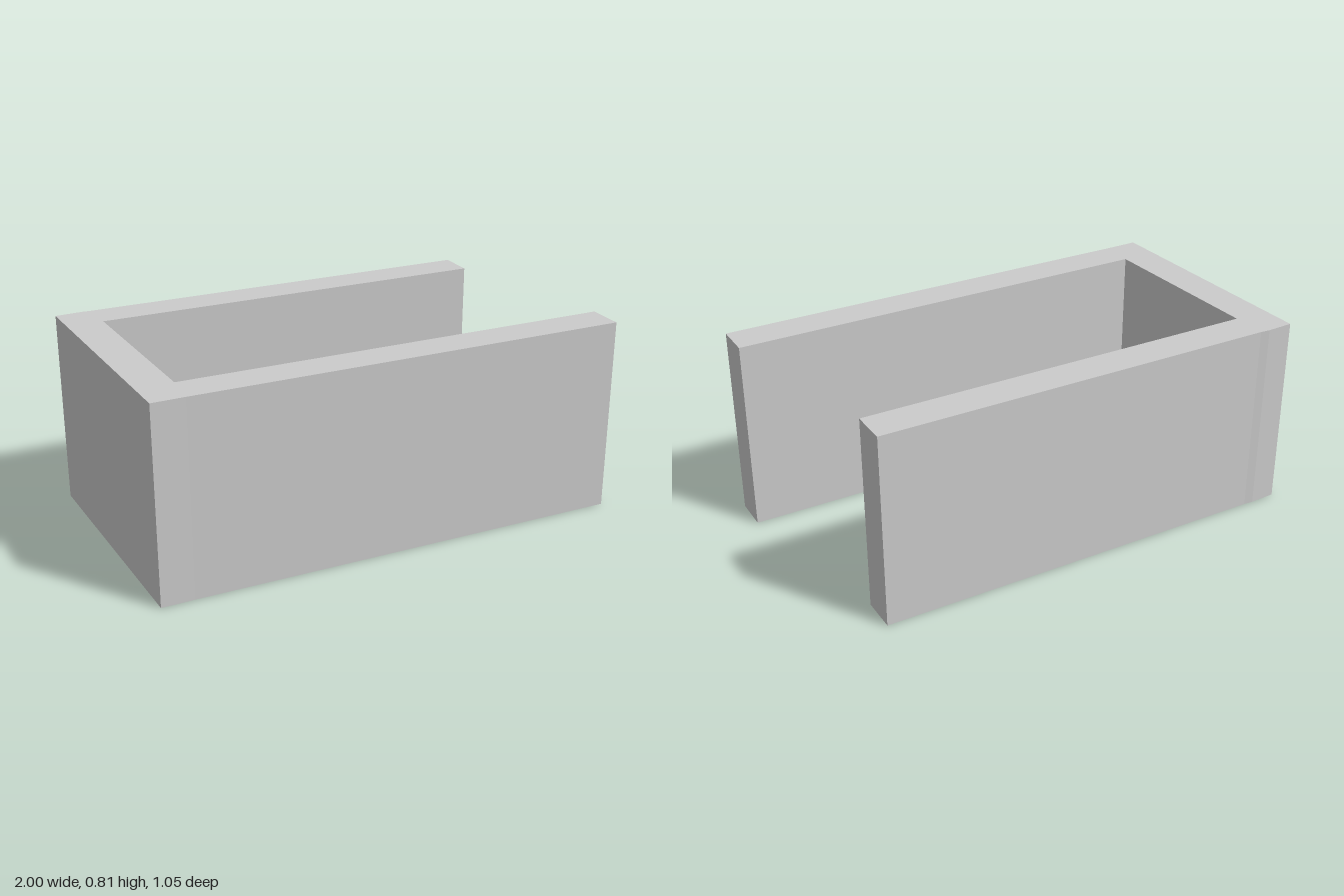
import * as THREE from 'three';

const HEIGHT = 0.81;

// Plan outline of the U-shaped wall as [x, z]; the end wall leans slightly
const OUTLINE = [
  [-0.953, 0.524], [-0.82, 0.522], [1, 0.525], [1, 0.375], [-0.81, 0.375],
  [-0.845, -0.375], [0.83, -0.375], [0.83, -0.524], [-0.85, -0.524],
  [-0.89, -0.527], [-1, -0.522],
];

export function createModel() {
  const group = new THREE.Group();
  group.name = 'channel';

  // Upright wall: back side, end and front side in one solid
  const shape = new THREE.Shape(OUTLINE.map(([x, z]) => new THREE.Vector2(x, -z)));
  const geometry = new THREE.ExtrudeGeometry(shape, { depth: HEIGHT, bevelEnabled: false });
  geometry.rotateX(-Math.PI / 2);

  const wall = new THREE.Mesh(
    geometry,
    new THREE.MeshStandardMaterial({ color: 0xcccccc, flatShading: true }),
  );
  wall.name = 'uShapedWall';
  group.add(wall);
  return group;
}
